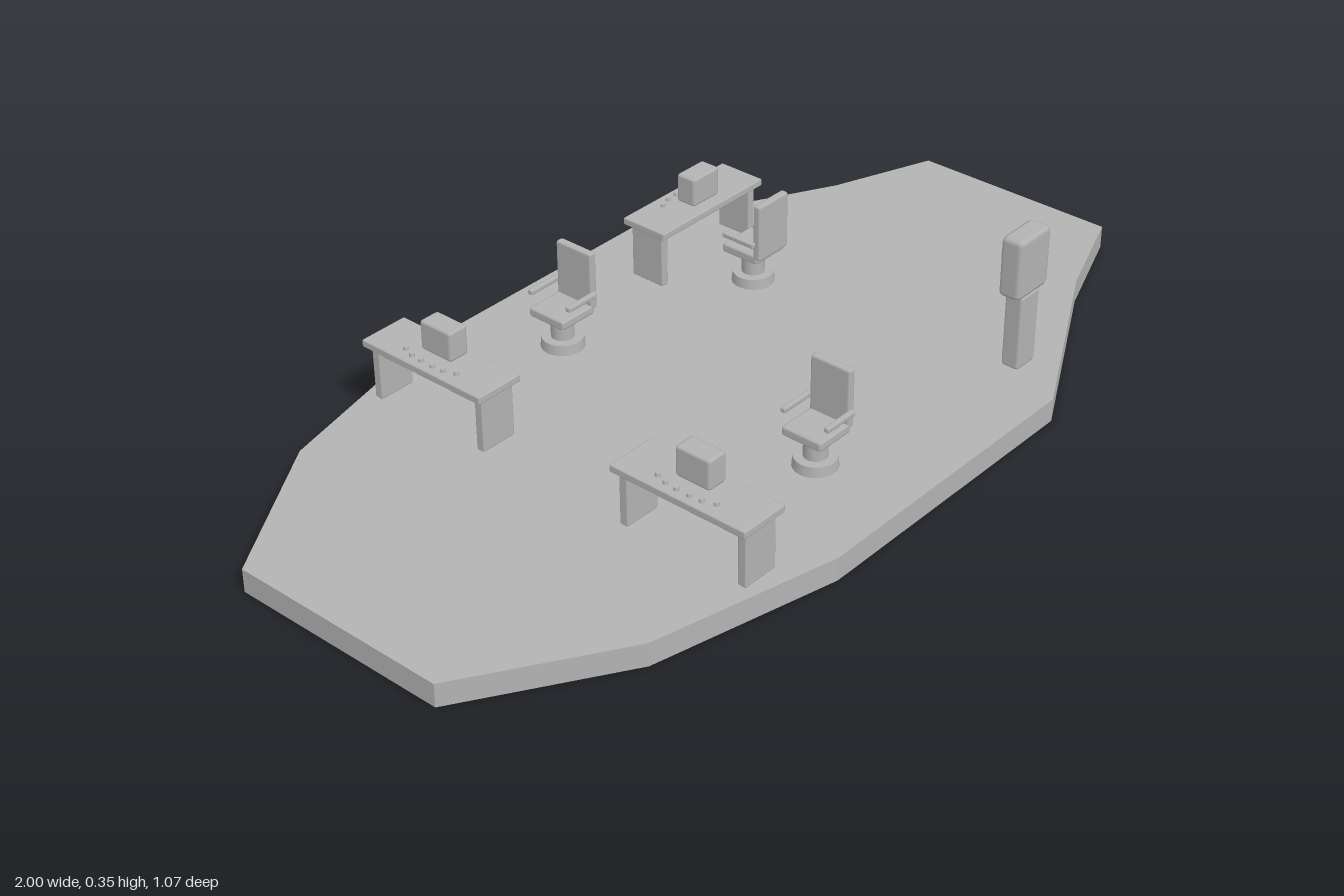
import * as THREE from 'three';
import { RoundedBoxGeometry } from 'three/addons/geometries/RoundedBoxGeometry.js';

const grey = new THREE.MeshStandardMaterial({ color: 0xb3b3b3 });
grey.name = 'plain grey';

const FLOOR = 0.05;

function add(parent, name, geometry, x, y, z) {
  const mesh = new THREE.Mesh(geometry, grey);
  mesh.name = name;
  mesh.position.set(x, y, z);
  parent.add(mesh);
  return mesh;
}

// Box with softly chamfered edges, given by its extents on each axis
function block(parent, name, [x0, x1], [y0, y1], [z0, z1], bevel = 0.003) {
  const geometry = new RoundedBoxGeometry(x1 - x0, y1 - y0, z1 - z0, 1, bevel);
  return add(parent, name, geometry, (x0 + x1) / 2, (y0 + y1) / 2, (z0 + z1) / 2);
}

// Many-sided floor slab, mirrored front to back
function createPlatform() {
  const edge = [[-1, 0.24], [-0.69, 0.438], [-0.295, 0.533], [0.372, 0.533], [0.775, 0.317], [1, 0.232]];
  const back = edge.map(([x, z]) => [x, -z]).reverse();
  const points = [...edge, ...back].map(([x, z]) => new THREE.Vector2(x, -z));
  const geometry = new THREE.ExtrudeGeometry(new THREE.Shape(points), { depth: FLOOR, bevelEnabled: false });
  geometry.rotateX(-Math.PI / 2);
  const mesh = new THREE.Mesh(geometry, grey);
  mesh.name = 'platform';
  return mesh;
}

// Desk runs along z; its user sits on the +x side
function createDesk() {
  const desk = new THREE.Group();
  desk.name = 'desk';
  block(desk, 'deskTop', [-0.055, 0.055], [0.117, 0.133], [-0.157, 0.157]);
  for (const side of [-1, 1]) {
    const z = side * 0.138;
    block(desk, 'deskLeg', [-0.04, 0.042], [0, 0.118], [z - 0.0095, z + 0.0095]);
  }
  // Monitor on a short stand
  block(desk, 'monitorStand', [0, 0.024], [0.131, 0.142], [-0.022, 0.022], 0.002);
  block(desk, 'monitor', [-0.011, 0.036], [0.139, 0.203], [-0.04, 0.04], 0.006);
  // Curved row of buttons behind the monitor
  for (const side of [-1, 1]) {
    for (const [x, z] of [[-0.024, 0.068], [-0.033, 0.042], [-0.035, 0.015]]) {
      add(desk, 'button', new THREE.CylinderGeometry(0.005, 0.006, 0.008, 10), x, 0.136, side * z);
    }
  }
  return desk;
}

// Chair faces -x, with its back on the +x side
function createChair() {
  const chair = new THREE.Group();
  chair.name = 'chair';
  add(chair, 'chairBase', new THREE.CylinderGeometry(0.043, 0.045, 0.022, 24), 0, 0.011, 0);
  add(chair, 'chairColumn', new THREE.CylinderGeometry(0.024, 0.024, 0.055, 20), 0, 0.045, 0);
  block(chair, 'seat', [-0.046, 0.046], [0.069, 0.089], [-0.046, 0.046], 0.005);
  block(chair, 'chairBack', [0.036, 0.054], [0.08, 0.206], [-0.046, 0.046], 0.005);
  for (const side of [-1, 1]) {
    const z = side * 0.051;
    block(chair, 'armrest', [-0.037, 0.044], [0.111, 0.122], [z - 0.006, z + 0.006]);
  }
  return chair;
}

// Freestanding post with a screen head and a round dial on the rear
function createKiosk() {
  const kiosk = new THREE.Group();
  kiosk.name = 'kiosk';
  block(kiosk, 'kioskPost', [-0.03, 0.03], [0, 0.165], [-0.02, 0.02], 0.006);
  block(kiosk, 'kioskHead', [-0.051, 0.051], [0.166, 0.298], [-0.025, 0.025], 0.011);
  const dial = add(kiosk, 'kioskDial', new THREE.CylinderGeometry(0.028, 0.028, 0.014, 24), 0, 0.246, -0.029);
  dial.rotation.x = Math.PI / 2;
  return kiosk;
}

export function createModel() {
  const model = new THREE.Group();
  model.name = 'controlRoom';
  model.add(createPlatform());

  const place = (part, x, z, turn = 0) => {
    part.position.set(x, FLOOR, z);
    part.rotation.y = turn;
    model.add(part);
  };

  // Two mirrored work stations on the right side
  for (const side of [-1, 1]) {
    place(createDesk(), -0.43, side * 0.319);
    place(createChair(), -0.097, side * 0.322);
  }
  // Third station along the back edge
  place(createDesk(), 0.345, -0.361, -Math.PI / 2);
  place(createChair(), 0.345, -0.198, -Math.PI / 2);

  place(createKiosk(), 0.439, 0.403);
  return model;
}
